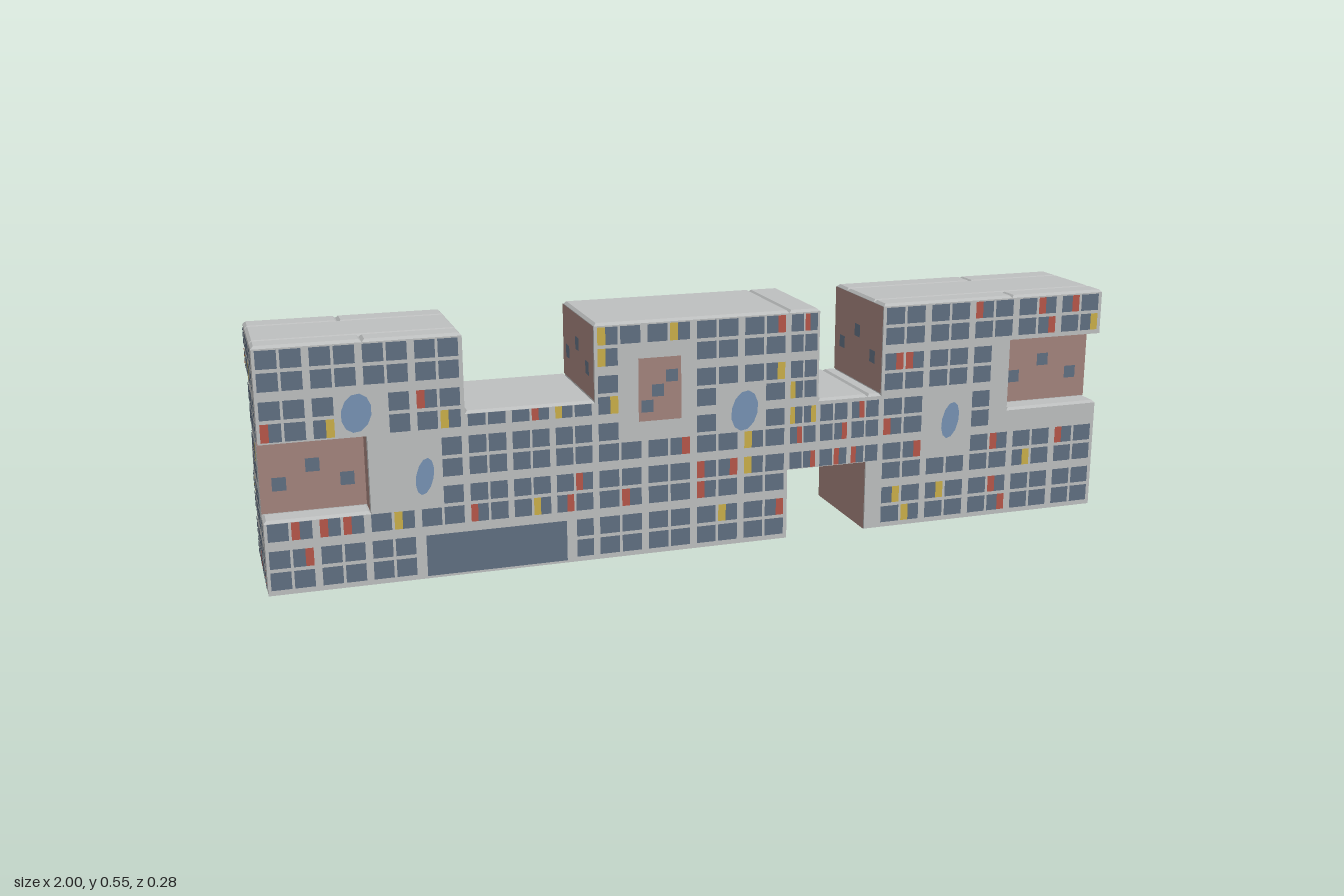
import * as THREE from 'three';
import { mergeGeometries } from 'three/addons/utils/BufferGeometryUtils.js';

const material = (name, color, side = THREE.FrontSide) => {
  const m = new THREE.MeshStandardMaterial({ color, side });
  m.name = name;
  return m;
};

const Z = 0.137, TOP = 0.545, ZF = 0.08, ZB = -0.074;
const FRONT = 0, BACK = Math.PI, RIGHT = Math.PI / 2, LEFT = -Math.PI / 2;

export function createModel() {
  const model = new THREE.Group();
  model.name = 'apartmentBuilding';
  const mats = {
    concrete: material('concrete', 0xbcbebe, THREE.DoubleSide),
    glass: material('windowBlue', 0x5f6e80),
    brick: material('pinkRender', 0xa2827b),
    red: material('redPanel', 0xb55548),
    yellow: material('yellowPanel', 0xc8ad48),
    mural: material('muralBlue', 0x7591b2),
  };
  let seed = 7;
  const random = () => (seed = (seed * 16807) % 2147483647) / 2147483647;

  // Hollow block with a bevelled roof edge; blocks on the ground are open below
  function block(name, x0, x1, y0, y1, z0, z1) {
    const w = x1 - x0, h = y1 - y0, d = z1 - z0, bevel = 0.006;
    const box = new THREE.BoxGeometry(w, h, d, 1, 2, 1);
    const p = box.attributes.position;
    for (let i = 0; i < p.count; i++) {
      if (Math.abs(p.getY(i)) < 1e-6) p.setY(i, h / 2 - bevel);
      else if (p.getY(i) > 0) {
        p.setX(i, p.getX(i) * (1 - 2 * bevel / w));
        p.setZ(i, p.getZ(i) * (1 - 2 * bevel / d));
      }
    }
    if (y0 === 0) {
      const floor = box.groups.find(g => g.materialIndex === 3);
      box.setIndex([...box.index.array].filter((_, i) => i < floor.start || i >= floor.start + floor.count));
    }
    const geo = box.toNonIndexed();
    geo.computeVertexNormals();
    const mesh = new THREE.Mesh(geo, mats.concrete);
    mesh.name = name;
    mesh.position.set((x0 + x1) / 2, (y0 + y1) / 2, (z0 + z1) / 2);
    model.add(mesh);
  }

  // Flat panels are collected by facade and colour, then merged
  const panels = {};
  const addPanel = (part, mat, geo) => ((panels[part] ??= {})[mat] ??= []).push(geo);
  function rect(part, mat, turn, dist, u0, u1, v0, v1, lift = 0.002) {
    addPanel(part, mat, new THREE.PlaneGeometry(u1 - u0, v1 - v0)
      .translate((u0 + u1) / 2, (v0 + v1) / 2, dist + lift).rotateY(turn));
  }

  // One window, sometimes with a coloured panel on one side
  function windowPane(part, turn, dist, u0, u1, v0, v1) {
    const r = random(), flip = random() < 0.5;
    const accent = r < 0.1 ? 'red' : r < 0.2 ? 'yellow' : null;
    if (!accent) return rect(part, 'glass', turn, dist, u0, u1, v0, v1);
    const cut = u0 + (u1 - u0) * (flip ? 0.4 : 0.6);
    rect(part, flip ? accent : 'glass', turn, dist, u0, cut, v0, v1);
    rect(part, flip ? 'glass' : accent, turn, dist, cut, u1, v0, v1);
  }

  // Rows come in pairs, five pairs to the full height
  const rows = [];
  for (let i = 0; i < 5; i++) rows.push(0.012 + i * 0.109, 0.06 + i * 0.109);

  // Windows in pairs across a wall, leaving out the skipped rectangles
  function windowGrid(part, turn, dist, u0, u1, y0, y1, pairs, skip = []) {
    const pitch = (u1 - u0) / pairs;
    for (const v0 of rows) {
      const v1 = Math.min(v0 + 0.04, y1 - 0.006);
      if (v0 < y0 || v1 - v0 < 0.02) continue;
      for (let i = 0; i < pairs * 2; i++) {
        const a = u0 + pitch * (Math.floor(i / 2) + (i % 2 ? 0.515 : 0.06));
        const b = a + pitch * 0.4;
        if (skip.some(s => a < s[1] && b > s[0] && v0 < s[3] && v1 > s[2])) continue;
        windowPane(part, turn, dist, a, b, v0, v1);
      }
    }
  }

  // Pink wall with a few small scattered windows
  function pinkWall(turn, dist, u0, u1, v0, v1, count = 3) {
    rect('pinkWalls', 'brick', turn, dist, u0, u1, v0, v1);
    for (let i = 0; i < count; i++) {
      const u = u0 + (u1 - u0) * (0.18 + i * 0.64 / Math.max(1, count - 1));
      const v = v0 + (v1 - v0) * (i % 2 ? 0.6 : 0.38);
      rect('pinkWalls', 'glass', turn, dist, u - 0.015, u + 0.015, v - 0.015, v + 0.015, 0.004);
    }
  }

  // End towers: a core between front and back strips, each strip notched at the outer end
  const towers = [
    { name: 'left', s: -1, inner: 0.565, f: [0.775, 0.167, 0.335], b: [0.8, 0.268, 0.437] },
    { name: 'right', s: 1, inner: 0.42, f: [0.755, 0.268, 0.437], b: [0.755, 0.213, 0.382] },
  ];
  for (const { name, s, inner, f, b } of towers) {
    const span = (p, q) => [Math.min(s * p, s * q), Math.max(s * p, s * q)];
    block(name + 'TowerCore', ...span(inner, 1), 0, TOP, ZB, ZF);
    for (const [label, n, z0, z1] of [['Front', f, ZF, Z], ['Back', b, -Z, ZB]]) {
      block(`${name}${label}Strip`, ...span(inner, n[0]), 0, TOP, z0, z1);
      block(`${name}${label}LowerBay`, ...span(n[0], 1), 0, n[1], z0, z1);
      block(`${name}${label}UpperBay`, ...span(n[0], 1), n[2], TOP, z0, z1);
    }
    // Notch walls
    const end = s > 0 ? RIGHT : LEFT;
    pinkWall(FRONT, ZF, ...span(f[0], 1), f[1], f[2]);
    const [b0, b1] = span(b[0], 1);
    pinkWall(BACK, -ZB, -b1, -b0, b[1], b[2]);
    const depth = (z0, z1) => (s > 0 ? [-z1, -z0] : [z0, z1]);
    pinkWall(end, f[0], ...depth(ZF, Z - 0.002), f[1], f[2], 0);
    pinkWall(end, b[0], ...depth(-Z + 0.002, ZB), b[1], b[2], 0);
    // End wall windows: wide ones on the core, narrow ones on the strips
    const part = name + 'EndWindows';
    windowGrid(part, end, 1, ...depth(-0.07, 0.076), 0, TOP, 1);
    for (const [n, z0, z1] of [[f, 0.086, 0.132], [b, -0.132, -0.08]]) {
      windowGrid(part, end, 1, ...depth(z0, z1), 0, TOP, 1, [[-1, 1, n[1], n[2]]]);
    }
  }

  // Middle of the building, with the passage below the bridge
  block('lowLink', -0.565, -0.275, 0, 0.372, -Z, Z);
  block('middleTower', -0.275, 0.185, 0, TOP, -Z, Z);
  block('overhang', 0.185, 0.26, 0.167, TOP, -Z, Z);
  block('bridge', 0.26, 0.385, 0.167, 0.332, -Z, Z);
  block('bridgePier', 0.385, 0.42, 0, 0.332, -Z, Z);

  // Pink side walls above the low roofs and in the passage
  pinkWall(RIGHT, -0.565, -Z, Z, 0.372, TOP - 0.006);
  pinkWall(LEFT, 0.275, -Z, Z, 0.372, TOP - 0.006);
  pinkWall(RIGHT, 0.26, -Z, Z, 0.332, TOP - 0.006);
  pinkWall(LEFT, -0.42, -Z, Z, 0.332, TOP - 0.006);
  pinkWall(RIGHT, 0.185, -Z, Z, 0, 0.167, 0);
  pinkWall(LEFT, -0.385, -Z, Z, 0, 0.167, 0);

  // Long facades: x from, x to, y from, y to, window pairs
  const bays = [
    [-1, -0.565, 0, TOP, 4], [-0.565, -0.275, 0, 0.372, 3], [-0.275, 0.185, 0, TOP, 4],
    [0.185, 0.26, 0.167, TOP, 1], [0.26, 0.42, 0.167, 0.332, 2], [0.42, 1, 0, TOP, 5],
  ];
  const frontSkips = [
    [-1, -0.775, 0.167, 0.335], [0.755, 1, 0.268, 0.437],
    [-0.66, -0.345, 0, 0.1], [-0.18, -0.07, 0.31, 0.465],
    [-0.83, -0.76, 0.345, 0.43], [-0.685, -0.63, 0.18, 0.3],
    [0.04, 0.11, 0.27, 0.38], [0.565, 0.635, 0.19, 0.31],
  ];
  const backSkips = [[0.8, 1, 0.268, 0.437], [-1, -0.755, 0.213, 0.382]];
  for (const [x0, x1, y0, y1, pairs] of bays) {
    windowGrid('frontWindows', FRONT, Z, x0, x1, y0, y1, pairs, frontSkips);
    windowGrid('backWindows', BACK, Z, -x1, -x0, y0, y1, pairs, backSkips);
  }

  // Shopfront, pink panel and painted blobs on the front
  rect('shopfront', 'glass', FRONT, Z, -0.66, -0.345, 0.006, 0.1);
  rect('pinkPanel', 'brick', FRONT, Z, -0.175, -0.075, 0.315, 0.46);
  for (const [x, y] of [[-0.155, 0.35], [-0.13, 0.385], [-0.097, 0.417]]) {
    rect('pinkPanel', 'glass', FRONT, Z, x - 0.014, x + 0.014, y - 0.014, y + 0.014, 0.004);
  }
  for (const [x, y, rx, ry] of [[-0.795, 0.388, 0.032, 0.043], [-0.657, 0.235, 0.019, 0.042],
    [0.077, 0.32, 0.032, 0.048], [0.602, 0.252, 0.022, 0.045]]) {
    addPanel('murals', 'mural', new THREE.CircleGeometry(1, 12).scale(rx, ry, 1)
      .rotateZ(-0.2).translate(x, y, Z + 0.003));
  }

  for (const [part, byColour] of Object.entries(panels)) {
    const group = new THREE.Group();
    group.name = part;
    for (const [mat, list] of Object.entries(byColour)) {
      const mesh = new THREE.Mesh(mergeGeometries(list), mats[mat]);
      mesh.name = `${part} ${mats[mat].name}`;
      group.add(mesh);
    }
    model.add(group);
  }
  return model;
}
